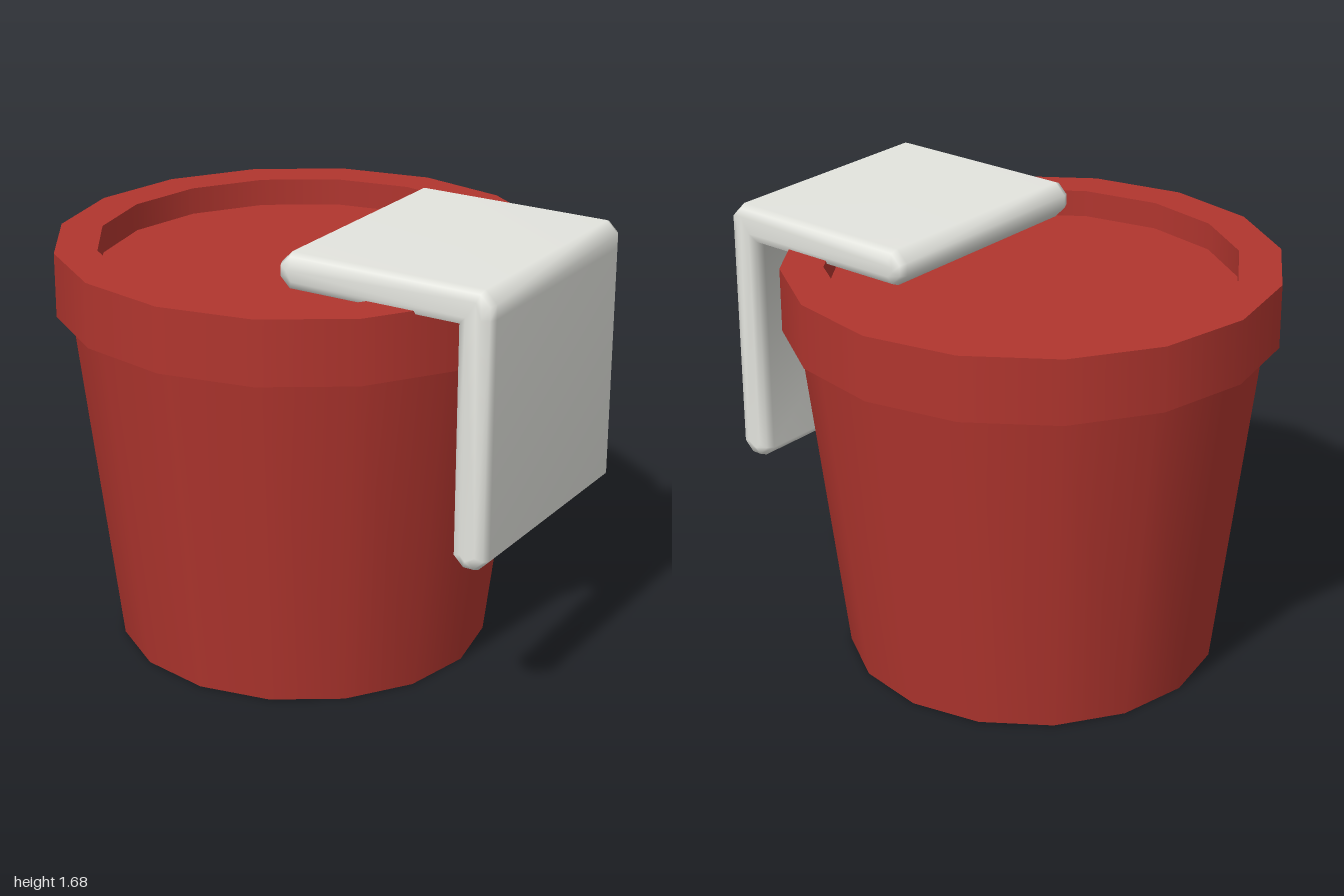
import * as THREE from 'three';
import { mergeVertices } from 'three/addons/utils/BufferGeometryUtils.js';

const SIDES = 16;

export function createModel() {
  const red = new THREE.MeshStandardMaterial({ color: 0xb0352e });
  red.name = 'terracotta red';
  const white = new THREE.MeshStandardMaterial({ color: 0xe3e4de });
  white.name = 'off white';

  const model = new THREE.Group();
  model.name = 'pot';

  // Pot: one lathe band per profile segment keeps the rim edges sharp
  const pot = new THREE.Group();
  pot.name = 'potBody';
  pot.position.x = -0.07;
  const profile = [
    [0, 0], [0.715, 0], [0.872, 1.325], [0.93, 1.325],
    [0.93, 1.57], [0.77, 1.57], [0.77, 1.465], [0, 1.465],
  ].map(([r, y]) => new THREE.Vector2(r, y));
  const names = ['base', 'wall', 'rimUnderside', 'rimOuter', 'rimTop', 'rimInner', 'soil'];
  names.forEach((name, i) => {
    const band = new THREE.Mesh(new THREE.LatheGeometry([profile[i], profile[i + 1]], SIDES), red);
    band.name = name;
    pot.add(band);
  });
  model.add(pot);

  // Tag: bent plate over the rim, L-shaped section with chamfered outer corners
  const b = 0.04, c = 0.045;
  const section = new THREE.Shape([
    [0.14 + c, 1.545], [0.86, 1.545], [0.86, 0.645 + c], [0.86 + c, 0.645],
    [1 - c, 0.645], [1, 0.645 + c], [1, 1.585], [1, 1.685 - c], [1 - c, 1.685],
    [0.14 + c, 1.685], [0.14, 1.685 - c], [0.14, 1.545 + c],
  ].map(([x, y]) => new THREE.Vector2(x, y)));
  let plate = new THREE.ExtrudeGeometry(section, {
    depth: 1 - 2 * b, bevelEnabled: true, bevelSize: b, bevelOffset: -b,
    bevelThickness: b, bevelSegments: 2, steps: 1,
  });
  plate.translate(0, 0, -0.5 + b);
  // Weld for smooth shading across the bevels
  plate.deleteAttribute('uv');
  plate.deleteAttribute('normal');
  plate = mergeVertices(plate, 1e-4);
  plate.computeVertexNormals();
  const tag = new THREE.Mesh(plate, white);
  tag.name = 'bentTag';
  model.add(tag);

  return model;
}
